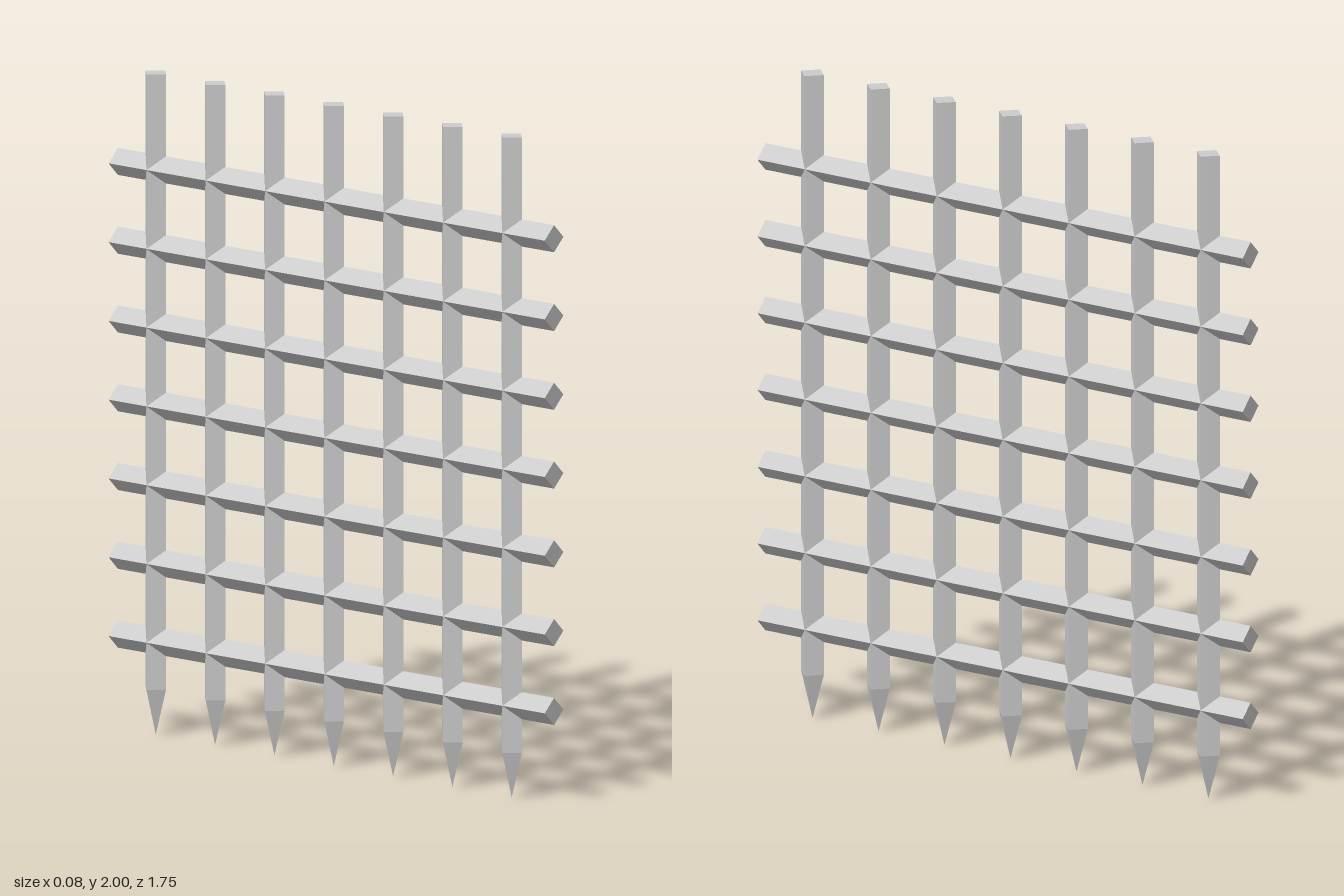
import * as THREE from 'three';

const RADIUS = 0.041, COUNT = 7, STEP = 0.238;
const TIP = 0.14, HEIGHT = 2, LENGTH = 1.75;

export function createModel() {
  const group = new THREE.Group();
  group.name = 'portcullis';
  const material = new THREE.MeshStandardMaterial({ color: 0xcccccc, flatShading: true });

  const add = (name, geometry, parent) => {
    const mesh = new THREE.Mesh(geometry, material);
    mesh.name = name;
    parent.add(mesh);
    return mesh;
  };

  // Four-sided bars set on edge, so their sections are diamonds
  const shaft = new THREE.CylinderGeometry(RADIUS, RADIUS, HEIGHT - TIP, 4);
  shaft.translate(0, (HEIGHT + TIP) / 2, 0);
  const spike = new THREE.ConeGeometry(RADIUS, TIP, 4, 1, true);
  spike.rotateX(Math.PI).translate(0, TIP / 2, 0);
  const rail = new THREE.CylinderGeometry(RADIUS, RADIUS, LENGTH, 4);
  rail.rotateX(Math.PI / 2);

  for (let i = 0; i < COUNT; i++) {
    // Upright with a pointed foot
    const upright = new THREE.Group();
    upright.name = `upright${i + 1}`;
    upright.position.z = 0.705 - i * STEP;
    add('shaft', shaft, upright);
    add('spike', spike, upright);
    group.add(upright);

    // Crossbar through all uprights
    add(`crossbar${i + 1}`, rail, group).position.y = 0.283 + i * STEP;
  }
  return group;
}
